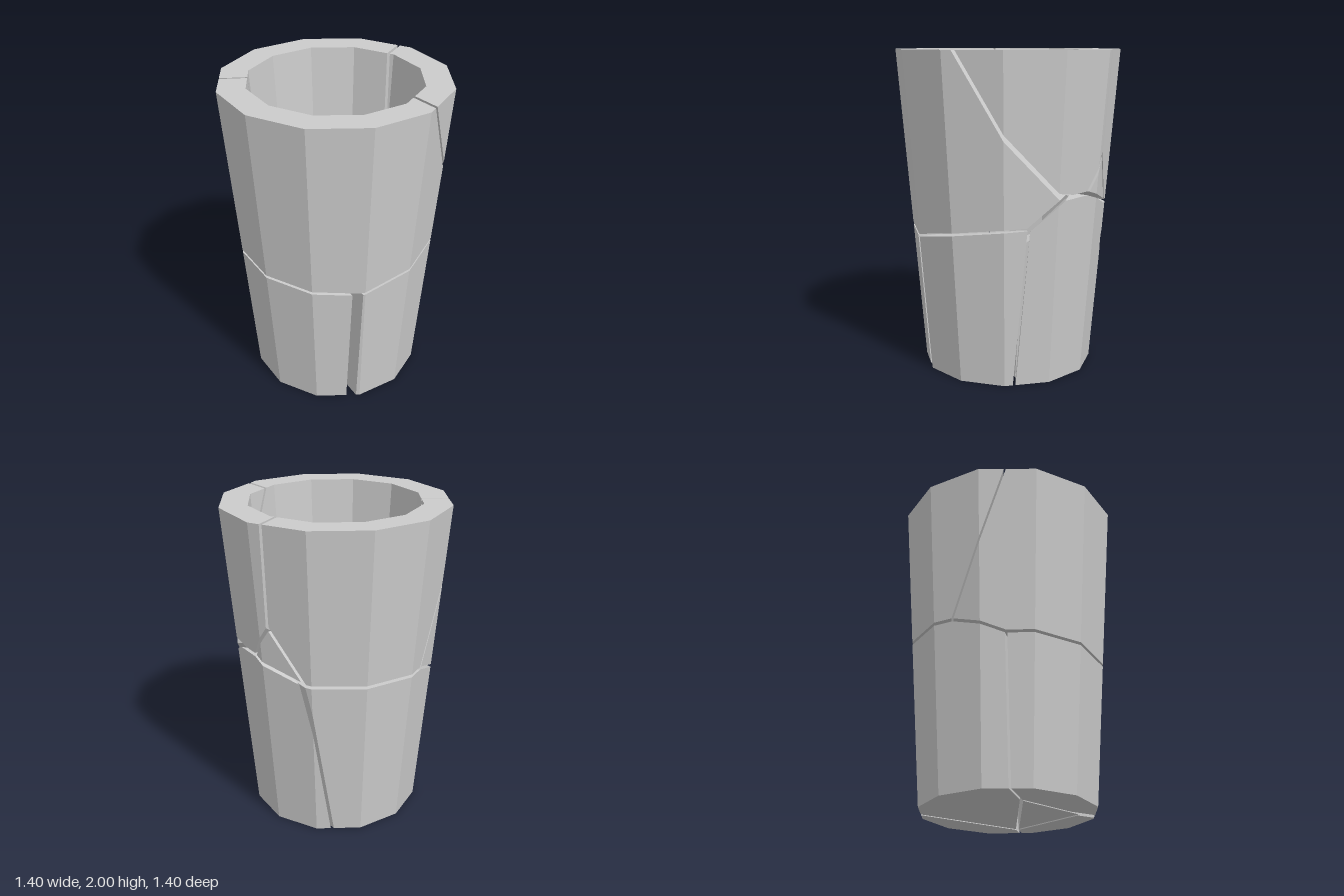
import * as THREE from 'three';

const SIDES = 12;

// Point from an angle in degrees and a height, on the outer wall unless a radius is given
function at([degrees, y, r = 0.54 + 0.08 * y]) {
  const a = THREE.MathUtils.degToRad(degrees);
  return new THREE.Vector3(r * Math.cos(a), y, r * Math.sin(a));
}

// Cross-sections [radius, y] of one segment; the hidden edges are inside the solid
const WALL = { profile: [[0.54, 0], [0.7, 2], [0.53, 2], [0.41, 0.15], [0.41, 0]], hidden: [3] };
const FLOOR = { profile: [[0, 0], [0.41, 0], [0.41, 0.15], [0, 0.15]], hidden: [1, 3] };

// Points where the cracks meet
const JOINTS = {
  rimLeft: [-5.4, 2], rimBack: [-97, 2], rimFront: [136.2, 2], hub: [-67.6, 2, 0.184],
  front: [136.3, 0.912], frontLeft: [33.8, 0.872], backLeft: [-43.5, 0.985], side: [166.7, 1.03],
  chipLeft: [-63, 1.15], chipBase: [-82.6, 1.16], chipTop: [-95.4, 1.38], chipTip: [-116, 1.05],
  footFront: [134.2, 0], footLeft: [35.3, 0], footBackLeft: [-36.2, 0], footBack: [-132, 0],
  floorRight: [120, 0, 0.3], floorFront: [40.3, 0, 0.433], floorBack: [-37.4, 0, 0.428],
  core: [-67.6, 0.9, 0.184],
};

// Shards, each with a point inside it
const SHARDS = {
  upperFront: [59, 1.5], upperSide: [200, 1.5], upperBack: [-55, 1.7], backChip: [-96, 1.2],
  lowerBack: [-90, 0.5], lowerSide: [180, 0.5], lowerFront: [90, 0.5], lowerLeft: [0, 0.4],
  floorPiece: [27, 0.05, 0.22],
};

// Cracks: two shards, two joints, then a third joint, 'axis' (level cut) or 'up' (vertical cut), and half the gap
const CRACKS = [
  ['upperFront', 'upperSide', 'rimFront', 'side', 'hub', 0.006],
  ['upperFront', 'upperBack', 'rimLeft', 'chipLeft', 'hub', 0.009],
  ['upperSide', 'upperBack', 'rimBack', 'chipTop', 'hub', 0.009],
  ['upperFront', 'lowerFront', 'frontLeft', 'front', 'axis', 0.009],
  ['upperFront', 'lowerLeft', 'frontLeft', 'backLeft', 'axis', 0.008],
  ['upperFront', 'lowerSide', 'front', 'side', 'axis', 0.009],
  ['upperFront', 'lowerBack', 'backLeft', 'chipLeft', 'core', 0.012],
  ['upperSide', 'lowerSide', 'side', 'chipTip', 'axis', 0.01],
  ['upperBack', 'lowerBack', 'chipBase', 'chipLeft', 'axis', 0.012],
  ['upperBack', 'backChip', 'chipBase', 'chipTop', 'axis', 0.01],
  ['upperSide', 'backChip', 'chipTop', 'chipTip', 'axis', 0.01],
  ['backChip', 'lowerBack', 'chipBase', 'chipTip', 'axis', 0.012],
  ['lowerFront', 'lowerSide', 'front', 'footFront', 'floorRight', 0.007],
  ['lowerFront', 'lowerLeft', 'frontLeft', 'footLeft', 'floorFront', 0.028],
  ['lowerFront', 'floorPiece', 'floorRight', 'floorFront', 'up', 0.007],
  ['lowerLeft', 'floorPiece', 'floorFront', 'floorBack', 'up', 0.009],
  ['lowerLeft', 'lowerBack', 'backLeft', 'footBackLeft', 'floorBack', 0.008],
  ['lowerSide', 'floorPiece', 'floorBack', 'floorRight', 'up', 0.01],
  ['lowerSide', 'lowerBack', 'floorBack', 'footBack', 'chipTip', 0.008],
];

// Outer limits that keep the small pieces in their own place
const LIMITS = {
  backChip: new THREE.Plane(new THREE.Vector3(0, 0, 1), 0.2),
  floorPiece: new THREE.Plane(new THREE.Vector3(0, 1, 0), -0.3),
};

const mean = (points) => points.reduce((s, p) => s.add(p), new THREE.Vector3()).divideScalar(points.length);

// One convex twelfth of the wall or floor as a list of outward faces
function segment({ profile, hidden }, i) {
  const ring = (k) => profile.map(([r, y]) => at([(k * 360) / SIDES, y, r]));
  const a = ring(i), b = ring(i + 1), n = profile.length;
  const faces = [{ pts: a, draw: false }, { pts: b, draw: false }];
  for (let j = 0; j < n; j++) {
    const k = (j + 1) % n;
    faces.push({ pts: [a[j], a[k], b[k], b[j]], draw: !hidden.includes(j) });
  }
  const centre = mean([...a, ...b]);
  for (const f of faces) {
    const [p0, p1, p2, p3] = f.pts;
    const normal = p2.clone().sub(p0).cross(p3.clone().sub(p1));
    if (normal.dot(mean(f.pts).sub(centre)) < 0) f.pts = [...f.pts].reverse();
  }
  return faces;
}

// Keep the part of a convex solid behind a plane and close the cut
function clip(faces, plane) {
  const cut = [], out = [];
  for (const { pts, draw } of faces) {
    const kept = [];
    pts.forEach((p, i) => {
      const q = pts[(i + 1) % pts.length];
      const dp = plane.distanceToPoint(p), dq = plane.distanceToPoint(q);
      if (dp <= 0) kept.push(p);
      if ((dp <= 0) !== (dq <= 0)) {
        const x = p.clone().lerp(q, dp / (dp - dq));
        kept.push(x);
        cut.push(x);
      }
    });
    if (kept.length > 2) out.push({ pts: kept, draw });
  }
  if (cut.length > 2) {
    const n = plane.normal, c = mean(cut);
    const u = new THREE.Vector3(Math.abs(n.y) < 0.8 ? 0 : 1, Math.abs(n.y) < 0.8 ? 1 : 0, 0).cross(n).normalize();
    const v = n.clone().cross(u);
    const angle = (p) => Math.atan2(p.clone().sub(c).dot(v), p.clone().sub(c).dot(u));
    out.push({ pts: cut.sort((p, q) => angle(p) - angle(q)), draw: true });
  }
  return out;
}

// Crack planes facing away from a shard, pulled back by half the gap
function planesOf(name) {
  const inside = at(SHARDS[name]);
  const planes = CRACKS.filter((c) => c[0] === name || c[1] === name).map(([, , j1, j2, third, half]) => {
    const p = at(JOINTS[j1]), q = at(JOINTS[j2]);
    let r;
    if (third === 'axis') r = new THREE.Vector3(0, p.y, 0);
    else if (third === 'up') r = new THREE.Vector3(p.x, p.y + 1, p.z);
    else r = at(JOINTS[third]);
    const plane = new THREE.Plane().setFromCoplanarPoints(p, q, r);
    if (plane.distanceToPoint(inside) > 0) plane.negate();
    plane.constant += half;
    return plane;
  });
  if (LIMITS[name]) planes.push(LIMITS[name]);
  return planes;
}

export function createModel() {
  const group = new THREE.Group();
  group.name = 'crackedCup';
  const material = new THREE.MeshStandardMaterial({ color: 0xcccccc, flatShading: true });
  for (const name of Object.keys(SHARDS)) {
    const planes = planesOf(name);
    const positions = [];
    for (let i = 0; i < SIDES; i++) {
      for (const part of [WALL, FLOOR]) {
        for (const { pts, draw } of planes.reduce(clip, segment(part, i))) {
          if (!draw) continue;
          for (let k = 1; k < pts.length - 1; k++) {
            for (const p of [pts[0], pts[k], pts[k + 1]]) positions.push(p.x, p.y, p.z);
          }
        }
      }
    }
    const geometry = new THREE.BufferGeometry();
    geometry.setAttribute('position', new THREE.Float32BufferAttribute(positions, 3));
    geometry.computeVertexNormals();
    const mesh = new THREE.Mesh(geometry, material);
    mesh.name = name;
    group.add(mesh);
  }
  return group;
}
